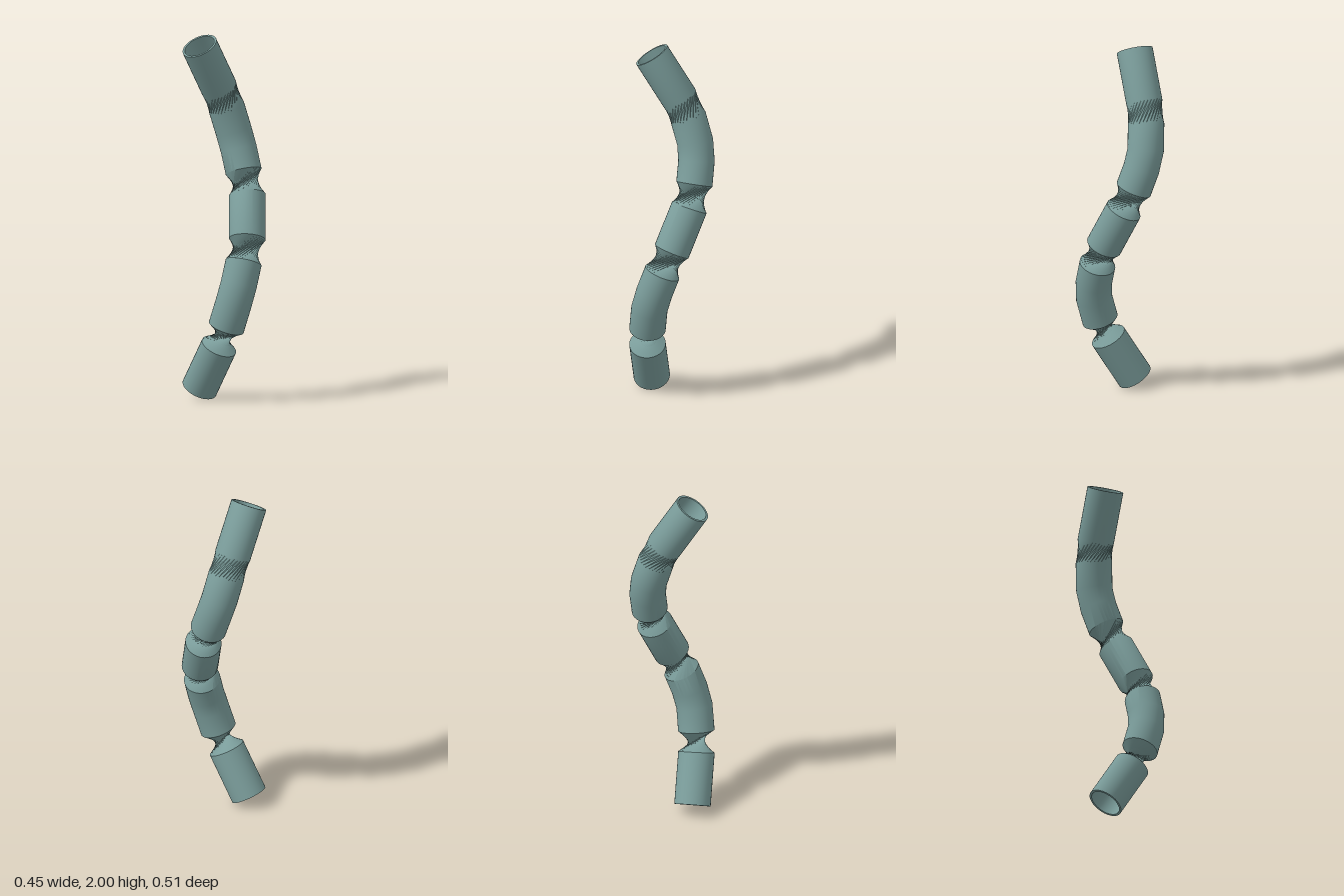
import * as THREE from 'three';
import { toCreasedNormals } from 'three/addons/utils/BufferGeometryUtils.js';

const SIDES = 32, OUTER = 0.1, INNER = 0.087;

// Lower half of the helical centre line; the upper half mirrors it
const lower = [
  [-0.137, 0.052, 0], [-0.03, 0.3, 0.11], [0.01, 0.41, 0.14], [0.05, 0.545, 0.157],
  [0.078, 0.645, 0.145], [0.105, 0.765, 0.11], [0.125, 0.886, 0.06],
].map((p) => new THREE.Vector3(...p));
const upper = lower.map((p) => new THREE.Vector3(p.x, 2 - p.y, -p.z)).reverse();
const path = [...lower, ...upper];

// Twist added just before each ring; a large twist wrings the pipe into a neck
const twists = { 2: 2.25, 6: 1.57, 8: 1.57, 12: 0.7 };

// Rings of points square to the centre line
function makeRings(radius) {
  let turn = 0;
  return path.map((p, i) => {
    const t = path[Math.min(i + 1, path.length - 1)].clone()
      .sub(path[Math.max(i - 1, 0)]).normalize();
    const u = new THREE.Vector3(1, 0, 0).addScaledVector(t, -t.x).normalize();
    const v = t.clone().cross(u);
    turn += twists[i] || 0;
    return Array.from({ length: SIDES }, (_, j) => {
      const a = turn + (j / SIDES) * Math.PI * 2;
      return p.clone().addScaledVector(u, radius * Math.cos(a)).addScaledVector(v, radius * Math.sin(a));
    });
  });
}

// Skin joining consecutive rings
function loft(rings) {
  const index = [];
  for (let i = 0; i < rings.length - 1; i++) {
    for (let j = 0; j < SIDES; j++) {
      const k = (j + 1) % SIDES;
      const a = i * SIDES + j, b = i * SIDES + k;
      const c = b + SIDES, d = a + SIDES;
      index.push(a, b, c, a, c, d);
    }
  }
  const geometry = new THREE.BufferGeometry().setFromPoints(rings.flat());
  geometry.setIndex(index);
  return toCreasedNormals(geometry, 0.6);
}

export function createModel() {
  const group = new THREE.Group();
  group.name = 'twistedPipe';
  const material = new THREE.MeshStandardMaterial({ color: 0x7a9c9a, side: THREE.DoubleSide });
  material.name = 'greyTeal';
  const add = (name, rings) => {
    const mesh = new THREE.Mesh(loft(rings), material);
    mesh.name = name;
    group.add(mesh);
  };

  const outer = makeRings(OUTER), inner = makeRings(INNER);
  const last = path.length - 1;
  add('outerWall', outer);
  add('innerWall', [...inner].reverse());
  // Flat rims closing the wall at both open ends
  add('bottomRim', [inner[0], outer[0]]);
  add('topRim', [outer[last], inner[last]]);
  return group;
}
